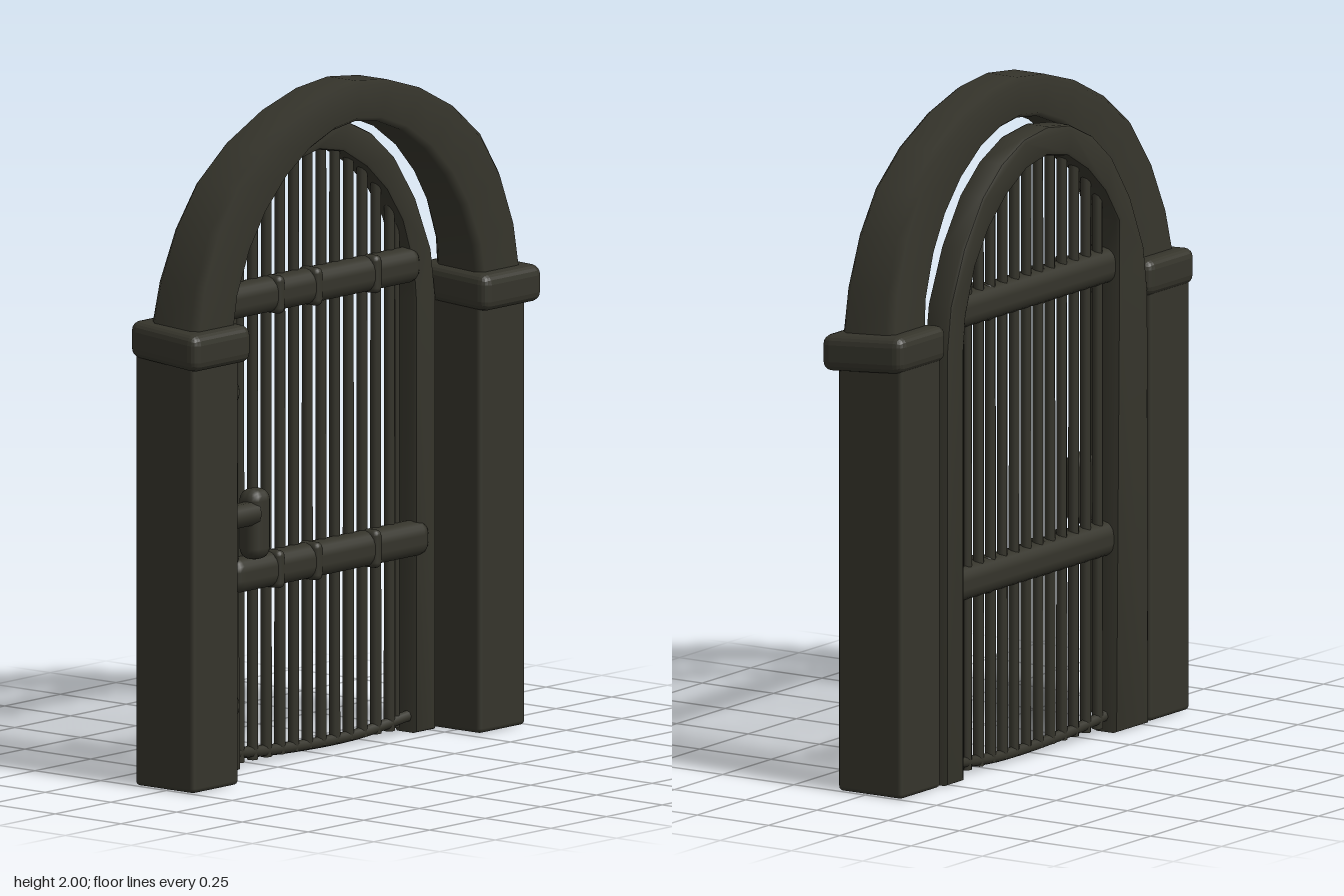
import * as THREE from 'three';
import { RoundedBoxGeometry } from 'three/addons/geometries/RoundedBoxGeometry.js';
import { toCreasedNormals } from 'three/addons/utils/BufferGeometryUtils.js';

export function createModel() {
  const root = new THREE.Group();
  const iron = new THREE.MeshStandardMaterial({ color: 0x35342b });
  iron.name = 'dark iron stone';

  function add(name, geo, parent = root) {
    const m = new THREE.Mesh(geo, iron);
    m.name = name;
    parent.add(m);
    return m;
  }
  // rounded box from its extents on each axis
  function block(name, [x0, x1], [y0, y1], [z0, z1], r, parent = root) {
    const m = add(name, new RoundedBoxGeometry(x1 - x0, y1 - y0, z1 - z0, 2, r), parent);
    m.position.set((x0 + x1) / 2, (y0 + y1) / 2, (z0 + z1) / 2);
    return m;
  }
  // the left half of a right-hand curve that ends on x = 0
  const mirror = (pts) => pts.slice(0, -1).reverse().map(([x, y]) => [-x, y]);

  // pillars and their capitals, which are a little wider at the front
  for (const s of [-1, 1]) {
    const side = s < 0 ? 'right' : 'left';
    const span = (a, b) => (s < 0 ? [-b, -a] : [a, b]);
    block(side + 'Pillar', span(0.54, 0.747), [0, 1.3], [-0.125, 0.1], 0.014);
    const cap = block(side + 'Capital', span(0.52, 0.775), [1.255, 1.365], [-0.135, 0.137], 0.03);
    const p = cap.geometry.attributes.position;
    for (let i = 0; i < p.count; i++) {
      p.setX(i, p.getX(i) + s * p.getZ(i) * (p.getX(i) * s > 0 ? 0.08 : 0));
      p.setY(i, p.getY(i) - p.getZ(i) * 0.06);
    }
    cap.geometry.computeVertexNormals();
  }

  // stone arch: a softened rectangular section swept between two curves
  const archOuter = [[0.74, 1.33], [0.71, 1.49], [0.65, 1.64], [0.565, 1.765],
    [0.44, 1.865], [0.29, 1.94], [0.14, 1.985], [0, 2]];
  const archInner = [[0.55, 1.33], [0.53, 1.44], [0.475, 1.565], [0.405, 1.665],
    [0.315, 1.755], [0.21, 1.825], [0.1, 1.867], [0, 1.88]];
  const ringOuter = [...archOuter, ...mirror(archOuter)];
  const ringInner = [...archInner, ...mirror(archInner)];
  const section = [[0, -0.75], [0.1, -1], [0.9, -1], [1, -0.75],
    [1, 0.75], [0.9, 1], [0.1, 1], [0, 0.75]];
  const n = section.length, pos = [], idx = [];
  ringOuter.forEach(([ox, oy], i) => {
    const [ix, iy] = ringInner[i];
    const back = -0.085 + 0.045 * (oy - 1.33) / 0.67, front = 0.098;
    for (const [u, v] of section) {
      pos.push(ix + (ox - ix) * u, iy + (oy - iy) * u, (front + back) / 2 + v * (front - back) / 2);
    }
  });
  for (let i = 0; i < ringOuter.length - 1; i++) {
    for (let j = 0; j < n; j++) {
      const a = i * n + j, b = i * n + (j + 1) % n;
      idx.push(a, a + n, b, b, a + n, b + n);
    }
  }
  const archGeo = new THREE.BufferGeometry();
  archGeo.setAttribute('position', new THREE.Float32BufferAttribute(pos, 3));
  archGeo.setIndex(idx);
  archGeo.computeVertexNormals();
  add('stoneArch', archGeo);

  // gate frame: two stiles joined by an arch
  const gate = new THREE.Group();
  gate.name = 'gate';
  root.add(gate);
  const outer = [[0.52, 1.28], [0.5, 1.42], [0.43, 1.58], [0.335, 1.715], [0.235, 1.797], [0.12, 1.85], [0, 1.866]];
  const inner = [[0.43, 1.28], [0.42, 1.38], [0.37, 1.52], [0.3, 1.62], [0.21, 1.7], [0.105, 1.76], [0, 1.78]];
  const innerLeft = mirror(inner).map(([x, y]) => [Math.max(x, -0.37), y]);
  const outline = [[0.43, 0], [0.52, 0], ...outer, ...mirror(outer), [-0.525, 0], [-0.355, 0],
    ...innerLeft.reverse(), ...inner.slice().reverse()];
  const shape = new THREE.Shape(outline.map(([x, y]) => new THREE.Vector2(x, y)));
  const bevel = 0.012;
  const frameGeo = new THREE.ExtrudeGeometry(shape, {
    depth: 0.085 - 2 * bevel, bevelThickness: bevel, bevelSize: bevel, bevelOffset: -bevel, bevelSegments: 2,
  });
  frameGeo.translate(0, 0, -0.133 + bevel);
  add('gateFrame', toCreasedNormals(frameGeo, 0.7), gate);

  // vertical bars, each reaching up into the arch
  function archHeight(x) {
    const i = inner.findIndex(([px]) => px <= Math.abs(x));
    const [x0, y0] = inner[i], [x1, y1] = inner[i - 1];
    return y0 + (y1 - y0) * (Math.abs(x) - x0) / (x1 - x0);
  }
  for (let i = 0; i < 12; i++) {
    const x = -0.325 + i * 0.0615;
    const top = archHeight(x) + 0.03, low = 0.015;
    const bar = add('bar', new THREE.CylinderGeometry(0.0155, 0.0165, top - low, 8), gate);
    bar.position.set(x, (top + low) / 2, -0.085);
  }
  const slim = add('slimBar', new THREE.CylinderGeometry(0.01, 0.01, 1.5, 8), gate);
  slim.position.set(0.382, 0.77, -0.085);

  // rounded cross rails with slight straps, and the thin sill
  for (const [x0, x1, y0, y1] of [[-0.46, 0.445, 1.33, 1.435], [-0.4, 0.485, 0.52, 0.625]]) {
    block('crossRail', [x0, x1], [y0, y1], [-0.118, -0.028], 0.04, gate);
    for (const x of [-0.2, -0.03, 0.235]) {
      block('railStrap', [x - 0.018, x + 0.018], [y0 - 0.004, y1 + 0.004], [-0.1, -0.023], 0.017, gate);
    }
  }
  const sillPath = new THREE.CatmullRomCurve3([
    new THREE.Vector3(-0.4, 0.05, -0.085), new THREE.Vector3(-0.15, 0.03, -0.085),
    new THREE.Vector3(0.2, 0.025, -0.085), new THREE.Vector3(0.46, 0.05, -0.085)]);
  add('sill', new THREE.TubeGeometry(sillPath, 16, 0.017, 8), gate);

  // hinges and the rod on the stile
  for (const y of [1.125, 0.2]) {
    block('hingeStrap', [-0.53, -0.37], [y - 0.045, y + 0.035], [-0.1, -0.025], 0.035, gate);
    const knuckle = add('hingeKnuckle', new THREE.CylinderGeometry(0.022, 0.03, 0.12, 10), gate);
    knuckle.position.set(-0.515, y + 0.02, -0.055);
  }
  const rod = add('stileRod', new THREE.CylinderGeometry(0.014, 0.014, 0.9, 8), gate);
  rod.position.set(-0.462, 0.67, -0.048);

  // latch bolt and handle plate
  const bolt = add('latchBolt', new THREE.CylinderGeometry(0.036, 0.036, 0.15, 10), gate);
  bolt.rotation.z = Math.PI / 2;
  bolt.position.set(-0.415, 0.76, -0.02);
  block('handlePlate', [-0.362, -0.275], [0.62, 0.83], [-0.07, 0.01], 0.035, gate);

  return root;
}
